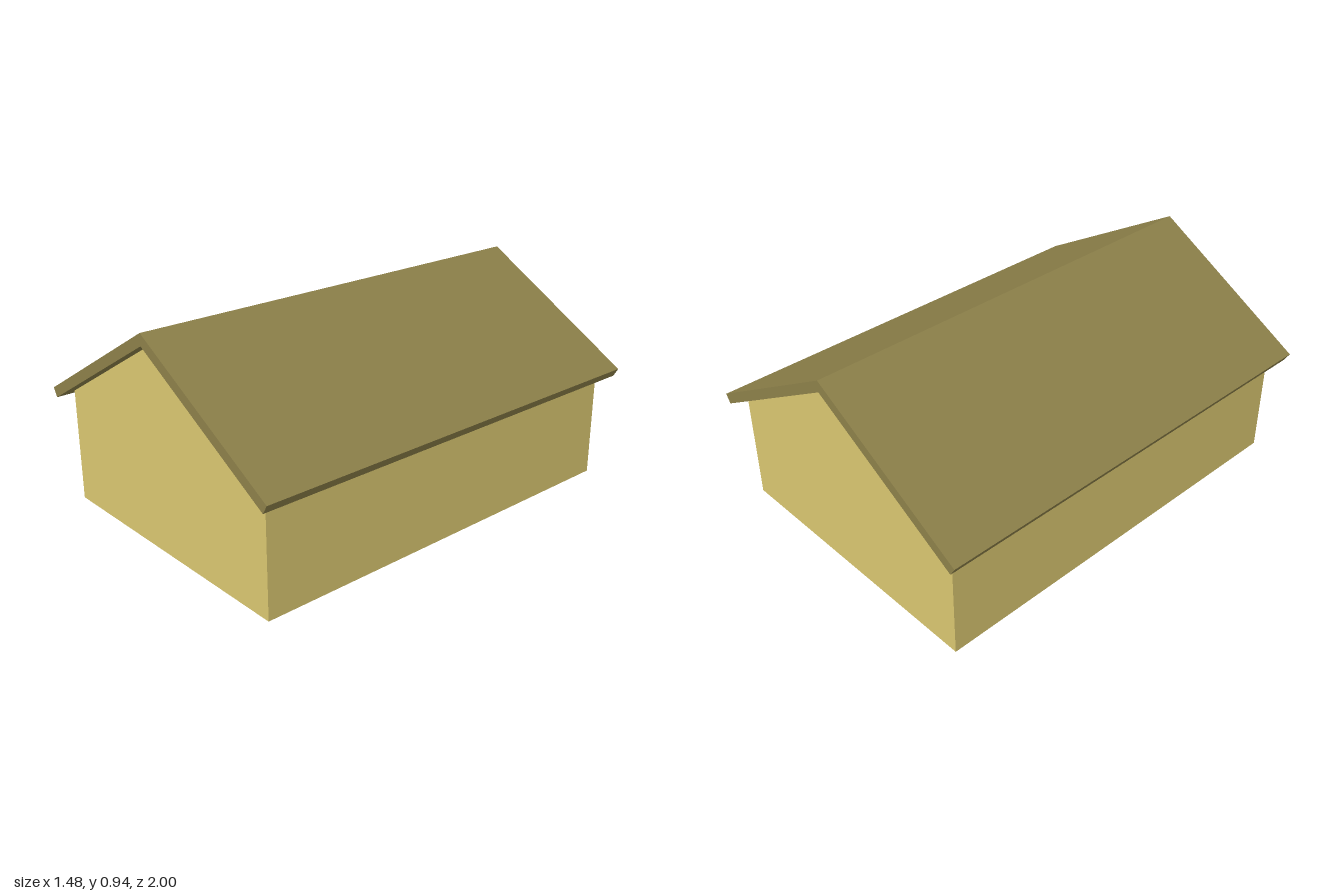
import * as THREE from 'three';

// Extrude an x/y outline along z, centred on z = 0
function prism(name, points, depth, color) {
  const shape = new THREE.Shape(points.map(([x, y]) => new THREE.Vector2(x, y)));
  const geometry = new THREE.ExtrudeGeometry(shape, { depth, bevelEnabled: false });
  geometry.translate(0, 0, -depth / 2);
  const mesh = new THREE.Mesh(geometry, new THREE.MeshStandardMaterial({ color }));
  mesh.name = name;
  return mesh;
}

export function createModel() {
  const group = new THREE.Group();
  group.name = 'gabledHouse';

  const slope = Math.tan(Math.PI / 6);
  const wallX = 0.66, ridgeY = 0.893, base = 0.003;
  const eaveY = ridgeY - wallX * slope;

  // Walls with gable ends
  group.add(prism('walls', [
    [-wallX, base], [wallX, base], [wallX, eaveY], [0, ridgeY], [-wallX, eaveY],
  ], 1.89, 0xd9c670));

  // Pitched roof with square-cut eaves, overhanging every side
  const topY = 0.945, outerX = 0.74, innerX = 0.717;
  const outerY = topY - outerX * slope, innerY = ridgeY - innerX * slope;
  group.add(prism('roof', [
    [0, ridgeY], [innerX, innerY], [outerX, outerY],
    [0, topY], [-outerX, outerY], [-innerX, innerY],
  ], 2, 0x8c8049));

  // Dark floor slab, set in slightly from the walls
  const floor = new THREE.Mesh(
    new THREE.BoxGeometry(1.27, 0.02, 1.84),
    new THREE.MeshStandardMaterial({ color: 0x444444 }),
  );
  floor.name = 'floor';
  floor.position.y = 0.01;
  group.add(floor);

  return group;
}
